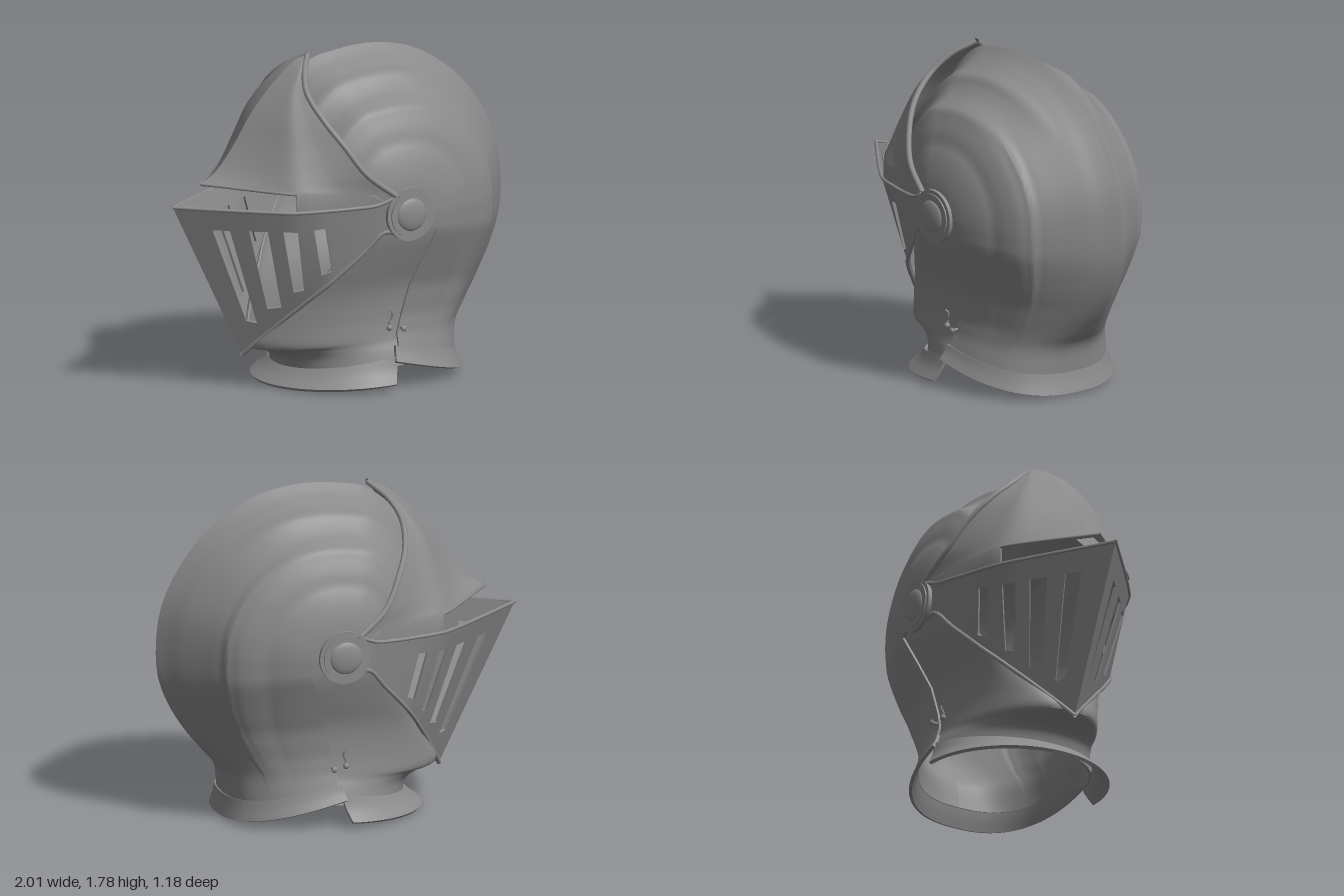
import * as THREE from 'three';
import { mergeVertices, mergeGeometries, toCreasedNormals } from 'three/addons/utils/BufferGeometryUtils.js';

const steel = new THREE.MeshStandardMaterial({ color: 0x8a8a8a, side: THREE.DoubleSide });
steel.name = 'steel';

const PIVOT = { x: 0.13, y: 0.95 };
const V = (a) => new THREE.Vector3(...a);
const curve = (pts) => new THREE.CatmullRomCurve3(pts.map(V), false, 'centripetal');
const { lerp, clamp, smoothstep } = THREE.MathUtils;

// linear lookup in a table of [x, y]
function lookup(table, x) {
  for (let i = 1; i < table.length; i++) {
    const [x0, y0] = table[i - 1], [x1, y1] = table[i];
    if (x <= x1) return lerp(y0, y1, Math.max(0, (x - x0) / (x1 - x0 || 1)));
  }
  return table[table.length - 1][1];
}

const smoothTable = (pts) => new THREE.SplineCurve(pts.map((p) => new THREE.Vector2(...p)))
  .getPoints(64).map((p) => [p.x, p.y]);

// grid of points -> sheet of given thickness; hole(row, col) leaves a cell open
function plate(rows, thick, hole = () => false) {
  const n = rows[0].length, idx = [];
  for (let j = 0; j < rows.length - 1; j++) for (let i = 0; i < n - 1; i++) {
    if (hole(j, i)) continue;
    const a = j * n + i, b = a + 1, c = a + n, d = c + 1;
    idx.push(a, c, b, b, c, d);
  }
  let g = new THREE.BufferGeometry();
  g.setAttribute('position', new THREE.Float32BufferAttribute(rows.flat().flatMap((p) => p.toArray()), 3));
  g.setIndex(idx);
  g = mergeVertices(g, 1e-4);
  let tris = [];
  const src = g.index.array;
  for (let k = 0; k < src.length; k += 3) {
    const t = [src[k], src[k + 1], src[k + 2]];
    if (new Set(t).size === 3) tris.push(t);
  }
  g.setIndex(tris.flat());
  g.computeVertexNormals();
  const P = g.attributes.position, N = g.attributes.normal;
  let sum = 0;
  for (let k = 0; k < N.count; k++) sum += N.getZ(k);
  const sign = sum < 0 ? -1 : 1;
  if (sign < 0) tris = tris.map(([a, b, c]) => [a, c, b]);
  // outer skin, inner skin and the walls along open edges
  const pos = [...P.array], m = P.count, out = [];
  for (let k = 0; k < m; k++) {
    const o = -thick * sign;
    pos.push(P.getX(k) + N.getX(k) * o, P.getY(k) + N.getY(k) * o, Math.max(0, P.getZ(k) + N.getZ(k) * o));
  }
  const edges = new Set();
  for (const t of tris) for (let e = 0; e < 3; e++) edges.add(t[e] + '_' + t[(e + 1) % 3]);
  for (const [a, b, c] of tris) {
    out.push(a, b, c, a + m, c + m, b + m);
    for (const [p, q] of [[a, b], [b, c], [c, a]]) {
      const centre = P.getZ(p) < 1e-4 && P.getZ(q) < 1e-4;
      if (!centre && !edges.has(q + '_' + p)) out.push(q, p, p + m, q, p + m, q + m);
    }
  }
  const solid = new THREE.BufferGeometry();
  solid.setAttribute('position', new THREE.Float32BufferAttribute(pos, 3));
  solid.setIndex(out);
  return toCreasedNormals(solid, 0.6);
}

// adds the mirror image across z = 0
function bothSides(geo) {
  const g = geo.index ? geo.toNonIndexed() : geo;
  g.deleteAttribute('uv');
  const r = g.clone();
  for (const name of ['position', 'normal']) {
    const A = r.attributes[name], B = g.attributes[name];
    for (let k = 0; k < A.count; k++) {
      const s = k - (k % 3) + (2 - (k % 3));
      A.setXYZ(k, B.getX(s), B.getY(s), -B.getZ(s));
    }
  }
  return mergeGeometries([g, r]);
}

const grid = (nr, nc, fn) => Array.from({ length: nr + 1 }, (_, j) =>
  Array.from({ length: nc + 1 }, (_, i) => fn(j / nr, i / nc)));

// quarter-oval sections running from a side seam to a centre line; power < 1 squares them off
function ovalPatch(seam, tip, nr, nc, power = 1) {
  const A = curve(seam), B = curve(tip);
  return grid(nr, nc, (v, u) => {
    const a = A.getPoint(v), b = B.getPoint(v), q = u * Math.PI / 2;
    const s = Math.sin(q) ** power, c = Math.max(0, Math.cos(q)) ** power;
    return new THREE.Vector3(lerp(a.x, b.x, s), lerp(a.y, b.y, s), lerp(b.z, a.z, u === 1 ? 0 : c));
  });
}

export function createModel() {
  const model = new THREE.Group();
  const add = (name, geo) => {
    const m = new THREE.Mesh(bothSides(geo), steel);
    m.name = name;
    model.add(m);
  };
  const rim = (name, pts, r) => add(name, new THREE.TubeGeometry(
    new THREE.CatmullRomCurve3(pts), pts.length * 4, r, 8));

  // fluted sections: half width against distance from pivot (0) to crest (1)
  const inner = [[0, 0.55], [0.2, 0.54], [0.32, 0.52], [0.4, 0.498], [0.46, 0.475], [0.54, 0.455], [0.62, 0.425]];
  const topFlutes = smoothTable([...inner, [0.675, 0.4], [0.705, 0.36], [0.745, 0.3], [0.8, 0.25], [0.845, 0.222],
    [0.867, 0.195], [0.885, 0.15], [0.915, 0.1], [0.95, 0.05], [1, 0]]);
  const backFlutes = smoothTable([...inner, [0.665, 0.395], [0.695, 0.375], [0.71, 0.34], [0.745, 0.3],
    [0.8, 0.235], [0.85, 0.178], [0.9, 0.12], [0.95, 0.055], [1, 0]]);

  // skull: spokes from pivot or seam [x, y, half width] to crest [x, y, roundness]
  const crest = [[-0.5, 1.28], [-0.42, 1.45], [-0.3, 1.61], [-0.16, 1.715], [-0.016, 1.747], [0.17, 1.763],
    [0.385, 1.735], [0.57, 1.655], [0.76, 1.505], [0.89, 1.33], [0.973, 1.145]];
  const base = crest.map(() => [PIVOT.x, PIVOT.y, 0.55]);
  const tip = crest.map(([x, y]) => [x, y, 0]);
  base.push([0.13, 0.95, 0.55], [0.31, 0.84, 0.54], [0.25, 0.68, 0.48], [0.2, 0.53, 0.425],
    [0.16, 0.37, 0.405], [0.13, 0.28, 0.412], [0.11, 0.2, 0.435]);
  tip.push([1, 0.94, 0], [0.99, 0.78, 0.02], [0.94, 0.635, 0.12], [0.855, 0.49, 0.3],
    [0.735, 0.34, 0.6], [0.655, 0.24, 0.85], [0.63, 0.1, 1]);
  const spans = base.length - 1, fine = 4;
  const tipCurve = new THREE.CatmullRomCurve3(tip.map(V));
  const skull = [];
  for (let j = 0; j <= spans * fine; j++) {
    const k = Math.min(Math.floor(j / fine), spans - 1), f = j / fine - k;
    const b = V(base[k]).lerp(V(base[k + 1]), f), t = tipCurve.getPoint(j / (spans * fine));
    const s0 = (b.x - PIVOT.x) / (t.x - PIVOT.x);
    const rear = smoothstep(t.x, 0.3, 0.85), round = clamp(t.z, 0, 1);
    const below = j / fine >= crest.length ? 1 : rear;
    skull.push(topFlutes.map(([s]) => {
      const q = clamp(Math.max(s, s0), 0, 1), w = (q - s0) / (1 - s0);
      const fluted = lerp(lookup(topFlutes, q), lookup(backFlutes, q), below) / 0.55;
      const shape = lerp(fluted, (1 - q ** 2.4) ** (1 / 2.4), round);
      return new THREE.Vector3(lerp(b.x, t.x, w), lerp(b.y, t.y, w), b.z * shape);
    }));
  }
  add('skull', plate(skull, 0.012));

  // chin plate, tucked under the skull and open above its front edge
  add('chinPlate', plate(ovalPatch(
    [[0.33, 0.95, 0.525], [0.33, 0.82, 0.508], [0.28, 0.68, 0.46], [0.23, 0.53, 0.407], [0.2, 0.37, 0.392],
      [0.18, 0.28, 0.398], [0.17, 0.24, 0.405], [0.16, 0.19, 0.423], [0.15, 0.11, 0.445]],
    [[0, 0.97, 0.52], [-0.12, 0.83, 0.455], [-0.24, 0.67, 0.365], [-0.35, 0.5, 0.255], [-0.48, 0.33, 0.11],
      [-0.545, 0.2, 0], [-0.46, 0.18, 0], [-0.38, 0.14, 0], [-0.345, 0.05, 0]], 40, 28), 0.012));

  // flared neck bands
  add('rearNeckBand', plate(ovalPatch([[0.105, 0.22, 0.44], [0.1, 0.18, 0.454], [0.09, 0.14, 0.478]],
    [[0.638, 0.11, 0], [0.648, 0.06, 0], [0.665, 0, 0]], 6, 28, 0.82), 0.018));
  add('frontNeckBand', plate(ovalPatch([[0.115, 0.165, 0.455], [0.095, 0.09, 0.475], [0.07, 0.025, 0.512]],
    [[-0.355, 0.085, 0], [-0.395, 0.045, 0], [-0.455, 0, 0]], 6, 28), 0.018));

  // upper visor: ruled from centre ridge to back edge, with an eye slit cut below
  const ridge = curve([[-0.18, 1.74, 0], [-0.26, 1.715, 0], [-0.39, 1.61, 0], [-0.525, 1.46, 0],
    [-0.635, 1.295, 0], [-0.745, 1.165, 0], [-0.835, 1.113, 0]]);
  const back = curve([[-0.18, 1.74, 0], [-0.26, 1.67, 0.11], [-0.3, 1.58, 0.21], [-0.275, 1.46, 0.34],
    [-0.205, 1.33, 0.44], [-0.11, 1.18, 0.512], [0.04, 1.06, 0.555]]);
  const bulge = [[0, 0], [0.2, 0.09], [0.32, 0.14], [0.4, 0.163], [0.47, 0.155], [0.7, 0.08], [1, 0]];
  const cols = 24, slitCol = 10;
  const visor = grid(28, cols, (v, u) => {
    const p = ridge.getPoint(v).lerp(back.getPoint(v), u);
    p.z += lookup(bulge, u) * v;
    return p;
  });
  const last = visor[visor.length - 1];
  visor.push(last.map((p) => new THREE.Vector3(p.x, 1.0, p.z)));
  add('upperVisor', plate(visor, 0.014, (j, i) => j === 28 && i < slitCol));
  rim('upperVisorBackRim', visor.slice(0, 29).map((r) => r[cols]), 0.016);
  rim('eyeSlitRim', last.slice(0, slitCol + 1), 0.008);

  // lower visor: columns follow the slot edges; rows are top, slot top, slot bottom, lower edge
  const depth = [[0, 0], [0.25, 0.2], [0.4, 0.315], [0.5, 0.385], [0.6, 0.428], [0.8, 0.495], [1, 0.545], [1.2, 0.57]];
  const onVisor = (x, y) => new THREE.Vector3(x, y, lookup(depth, x + 1 - (1.005 - y) * 0.5));
  const columns = [
    [-1, 1.005, -0.9375, 0.88, -0.6625, 0.33, -0.5775, 0.16],
    [-0.87, 1.0, -0.815, 0.88, -0.592, 0.357, -0.545, 0.212],
    [-0.8, 0.998, -0.742, 0.88, -0.545, 0.345, -0.52, 0.25],
    [-0.7, 0.995, -0.662, 0.88, -0.515, 0.43, -0.465, 0.33],
    [-0.625, 0.993, -0.582, 0.88, -0.458, 0.442, -0.43, 0.38],
    [-0.545, 0.991, -0.517, 0.88, -0.42, 0.53, -0.378, 0.45],
    [-0.485, 0.99, -0.453, 0.88, -0.378, 0.545, -0.345, 0.495],
    [-0.395, 0.993, -0.377, 0.89, -0.315, 0.633, -0.275, 0.58],
    [-0.34, 0.995, -0.32, 0.9, -0.265, 0.655, -0.235, 0.625],
    [-0.18, 1.003, -0.17, 0.92, -0.135, 0.77, -0.12, 0.745],
    [-0.05, 1.015, -0.04, 0.95, -0.02, 0.88, -0.01, 0.86],
    [0.06, 1.06, 0.06, 1.0, 0.06, 0.9, 0.06, 0.85],
  ];
  const lower = [0, 1, 2, 3].map((r) => columns.map((c) => onVisor(c[2 * r], c[2 * r + 1])));
  add('lowerVisor', plate(lower, 0.013, (j, i) => j === 1 && [1, 3, 5, 7].includes(i)));
  rim('lowerVisorTopRim', lower[0], 0.01);
  rim('lowerVisorBottomRim', lower[3], 0.012);

  // pivots
  const disc = (name, r, z0, z1) => add(name, new THREE.CylinderGeometry(r, r, z1 - z0, 48)
    .rotateX(Math.PI / 2).translate(PIVOT.x, PIVOT.y, (z0 + z1) / 2));
  disc('pivotPlate', 0.143, 0.54, 0.562);
  disc('pivotWasher', 0.122, 0.55, 0.57);
  add('pivotDome', new THREE.SphereGeometry(0.088, 32, 12, 0, Math.PI * 2, 0, Math.PI / 2)
    .rotateX(Math.PI / 2).scale(1, 1, 0.25).translate(PIVOT.x, PIVOT.y, 0.567));

  // hook latch and stud
  add('latchHook', new THREE.TubeGeometry(curve([[0.08, 0.4, 0.43], [0.095, 0.39, 0.425], [0.09, 0.36, 0.418],
    [0.08, 0.34, 0.415], [0.085, 0.315, 0.415]]), 20, 0.006, 6));
  add('latchEye', new THREE.SphereGeometry(0.016, 12, 8).translate(0.08, 0.312, 0.418));
  add('latchPin', new THREE.CylinderGeometry(0.008, 0.008, 0.06, 10).rotateX(Math.PI / 2).translate(0.153, 0.305, 0.42));
  add('latchStud', new THREE.SphereGeometry(0.017, 12, 8).scale(1, 1, 0.6).translate(0.153, 0.305, 0.447));

  return model;
}
